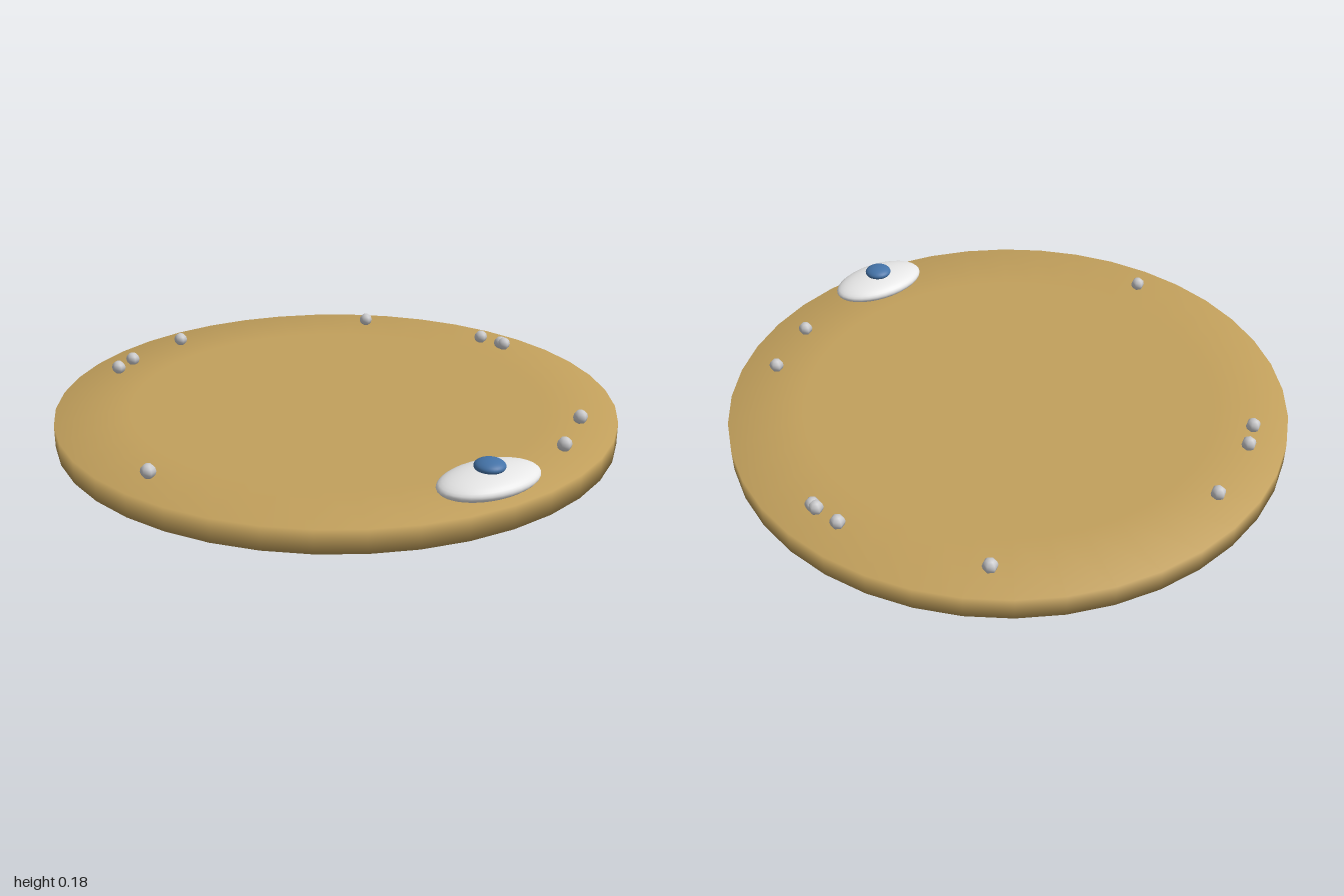
import * as THREE from 'three';

export function createModel() {
  const gold = new THREE.MeshStandardMaterial({ color: 0xc2a05c });
  gold.name = 'gold';
  const white = new THREE.MeshStandardMaterial({ color: 0xeeeeee });
  white.name = 'white';
  const blue = new THREE.MeshStandardMaterial({ color: 0x4473a8 });
  blue.name = 'blue';
  const silver = new THREE.MeshStandardMaterial({ color: 0xcacacc });
  silver.name = 'silver';

  const model = new THREE.Group();
  model.name = 'studdedDisc';
  const add = (name, geometry, material, x, y, z) => {
    const mesh = new THREE.Mesh(geometry, material);
    mesh.name = name;
    mesh.position.set(x, y, z);
    model.add(mesh);
    return mesh;
  };

  // Flat disc whose normals roll softly over the rim
  const profile = [[0, 0], [0.74, 0], [1, 0], [1, 0.08], [0.74, 0.08], [0, 0.08]]
    .map(([r, y]) => new THREE.Vector2(r, y));
  add('disc', new THREE.LatheGeometry(profile, 40), gold, 0, 0, 0);

  // Oval boss with a round blue centre at the front
  const sphere = new THREE.SphereGeometry(1, 32, 20);
  add('ovalBoss', sphere, white, 0, 0.114, 0.873).scale.set(0.185, 0.041, 0.111);
  add('bossCentre', sphere, blue, 0, 0.16, 0.873).scale.set(0.05, 0.022, 0.05);

  // Small six-sided studs scattered around the rim
  const stud = new THREE.SphereGeometry(0.026, 6, 6).rotateY(Math.PI / 6);
  const studs = [
    [-0.556, -0.68], [-0.472, -0.74], [-0.213, -0.853], [0.572, -0.666], [0.845, -0.222],
    [0.867, -0.123], [0.868, -0.104], [-0.842, 0.238], [0.6, 0.632], [0.396, 0.776],
  ];
  for (const [x, z] of studs) add('stud', stud, silver, x, 0.1, z);

  return model;
}
